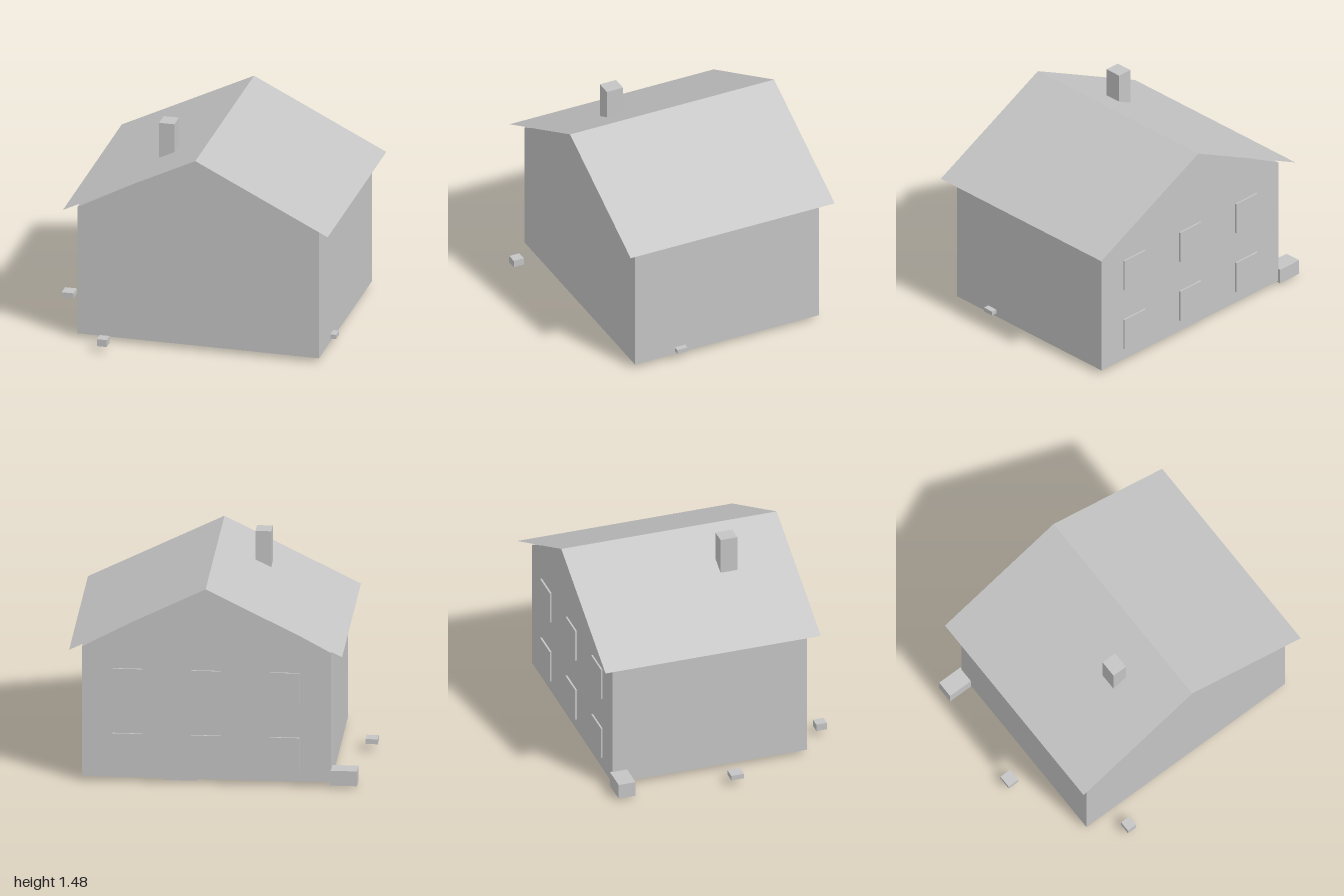
import * as THREE from 'three';

export function createModel() {
  const house = new THREE.Group();
  house.name = 'house';
  const grey = new THREE.MeshStandardMaterial({ color: 0xc4c4c4, side: THREE.DoubleSide });
  grey.name = 'plain grey';

  const add = (name, geometry, parent = house) => {
    const mesh = new THREE.Mesh(geometry, grey);
    mesh.name = name;
    parent.add(mesh);
    return mesh;
  };
  // Box given by its lower and upper limits on each axis
  const box = (name, [x0, x1], [y0, y1], [z0, z1], parent) => {
    const mesh = add(name, new THREE.BoxGeometry(x1 - x0, y1 - y0, z1 - z0), parent);
    mesh.position.set((x0 + x1) / 2, (y0 + y1) / 2, (z0 + z1) / 2);
    return mesh;
  };

  const ridgeX = 0.085, ridgeY = 1.397, eaveY = 0.945, baseY = 0.03;
  const backZ = -0.752, frontZ = 0.618;

  // Walls: gabled solid running front to back
  const gable = new THREE.Shape([
    [-0.75, baseY], [0.92, baseY], [0.92, eaveY], [ridgeX, ridgeY], [-0.75, eaveY],
  ].map(([x, y]) => new THREE.Vector2(x, y)));
  const walls = add('walls', new THREE.ExtrudeGeometry(gable, { depth: frontZ - backZ, bevelEnabled: false }));
  walls.position.z = backZ;

  // Roof: thin sheet folded along the ridge, with overhanging eaves
  const sheet = new THREE.PlaneGeometry(1.83, 1.52, 2, 1).rotateX(-Math.PI / 2);
  const p = sheet.attributes.position;
  for (let i = 0; i < p.count; i++) {
    p.setY(i, Math.abs(p.getX(i)) < 0.01 ? ridgeY + 0.001 : eaveY);
  }
  const folded = sheet.toNonIndexed();
  folded.computeVertexNormals();
  add('roof', folded).position.set(ridgeX, 0, -0.07);

  box('chimney', [-0.272, -0.166], [1.1, 1.475], [0.172, 0.292]);

  // Windows: two rows of three raised panels on the back wall
  const windows = new THREE.Group();
  windows.name = 'windows';
  house.add(windows);
  for (const y of [0.113, 0.57]) {
    for (const x of [-0.44, 0.09, 0.615]) {
      box('window', [x - 0.1, x + 0.1], [y, y + 0.228], [backZ - 0.012, backZ + 0.005], windows);
    }
  }

  // Small blocks around the walls
  box('cornerBlock', [-0.925, -0.745], [0.015, 0.12], [-0.77, -0.65]);
  box('sideBlock', [-1, -0.918], [0.05, 0.085], [0, 0.09]);
  box('frontBlock', [-0.56, -0.492], [0.042, 0.092], [0.75, 0.825]);
  box('wallBlock', [0.88, 0.96], [0.053, 0.083], [0.245, 0.322]);

  // Footings below the floor
  const footings = [
    [[0.69, 0.855], 0.008, [0.195, 0.328]],
    [[0.34, 0.48], 0.008, [-0.17, -0.053]],
    [[0.15, 0.367], 0, [-0.7, -0.55]],
    [[-0.235, -0.108], 0.018, [-0.24, -0.175]],
  ];
  for (const [x, y, z] of footings) box('footing', x, [y, baseY + 0.02], z);

  return house;
}
